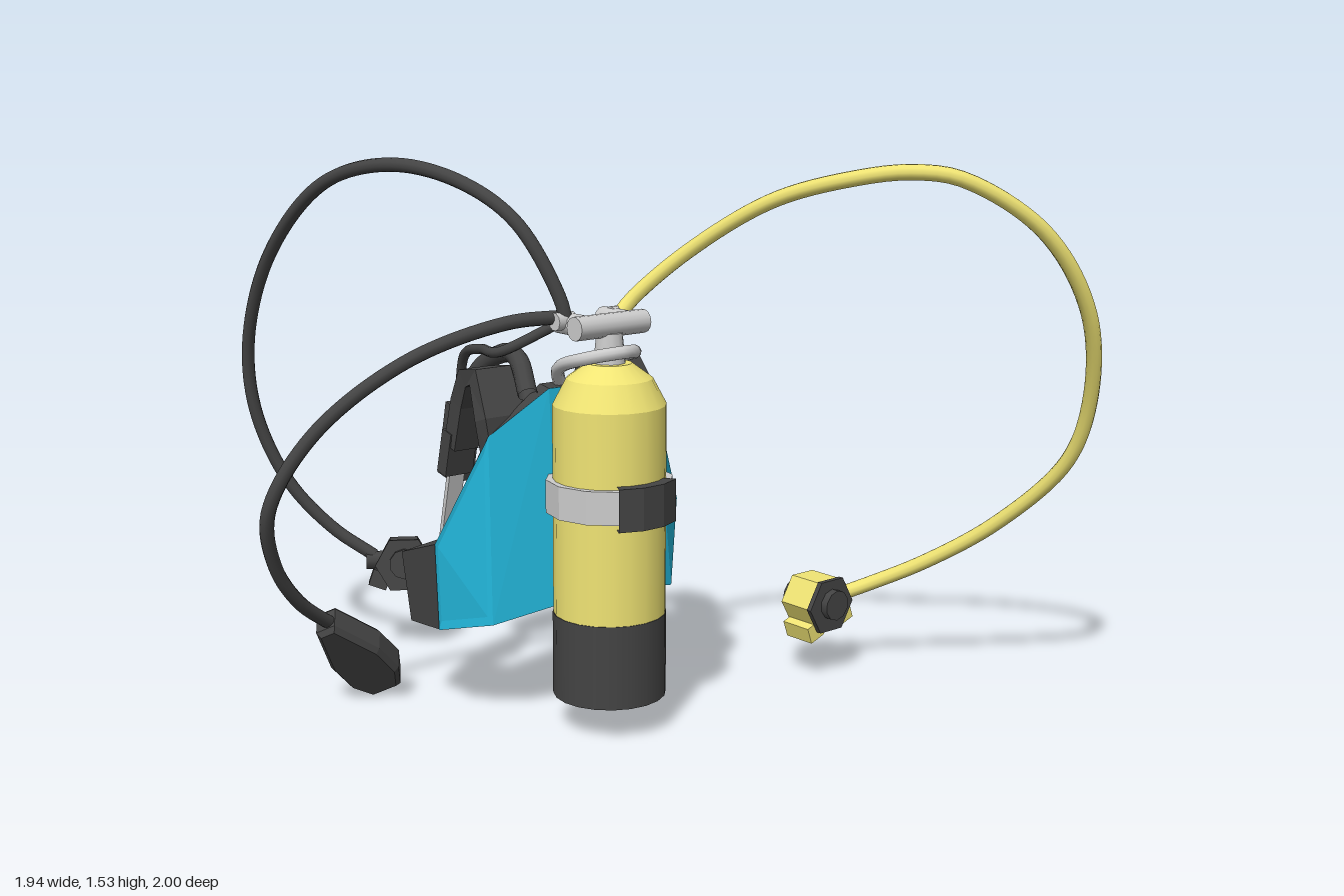
import * as THREE from 'three';

const V = (x, y, z) => new THREE.Vector3(x, y, z);
const mat = (color, flatShading = false) =>
  new THREE.MeshStandardMaterial({ color, flatShading, side: THREE.DoubleSide });
const YELLOW = 0xf0e474, TEAL = 0x22b4d8, DARK = 0x444444, GREY = 0xcccccc;

function add(parent, name, geo, color, pos = [0, 0, 0], rot = [0, 0, 0], flat = false) {
  const m = new THREE.Mesh(geo, mat(color, flat));
  m.name = name;
  m.position.set(...pos);
  m.rotation.set(...rot);
  parent.add(m);
  return m;
}
const cyl = (r1, r2, h, n = 20, start = 0, length = Math.PI * 2) =>
  new THREE.CylinderGeometry(r1, r2, h, n, 1, false, start, length);
const box = (x, y, z) => new THREE.BoxGeometry(x, y, z);

function hose(parent, name, pts, r, color, seg = 64) {
  const curve = new THREE.CatmullRomCurve3(pts.map(p => V(...p)));
  return add(parent, name, new THREE.TubeGeometry(curve, seg, r, 10), color);
}

// Joins four-cornered cross-sections into a capped solid
function loft(sections) {
  const out = [];
  const quad = (a, b, c, d) => [a, b, c, a, c, d].forEach(p => out.push(...p));
  for (let i = 0; i < sections.length - 1; i++)
    for (let k = 0; k < 4; k++) {
      const a = sections[i], b = sections[i + 1], j = (k + 1) % 4;
      quad(a[k], b[k], b[j], a[j]);
    }
  quad(...sections[0]);
  quad(...[...sections[sections.length - 1]].reverse());
  const g = new THREE.BufferGeometry();
  g.setAttribute('position', new THREE.Float32BufferAttribute(out, 3));
  g.computeVertexNormals();
  return g;
}

// Flat strap in a y-z plane; each station is [z, y, xMin, xMax]
function strap(stations, t) {
  return loft(stations.map(([z, y, xa, xb], i) => {
    const p = stations[Math.max(i - 1, 0)], q = stations[Math.min(i + 1, stations.length - 1)];
    const l = Math.hypot(q[0] - p[0], q[1] - p[1]);
    const nz = (q[1] - p[1]) / l * t / 2, ny = -(q[0] - p[0]) / l * t / 2;
    return [[xb, y + ny, z + nz], [xa, y + ny, z + nz], [xa, y - ny, z - nz], [xb, y - ny, z - nz]];
  }));
}

function buildTank() {
  const g = new THREE.Group();
  g.name = 'tank';
  g.position.set(-0.167, 0, 0.195);
  add(g, 'boot', cyl(0.154, 0.154, 0.23), DARK, [0, 0.205, 0]);
  add(g, 'cylinderBody', cyl(0.152, 0.152, 0.57), YELLOW, [0, 0.605, 0]);
  add(g, 'shoulderLower', cyl(0.115, 0.152, 0.07), YELLOW, [0, 0.925, 0]);
  add(g, 'shoulderUpper', cyl(0.06, 0.115, 0.04), YELLOW, [0, 0.98, 0]);
  add(g, 'tankBand', cyl(0.172, 0.172, 0.09, 12), GREY, [0, 0.645, 0], [0, 0, 0], true);
  add(g, 'buckle', cyl(0.185, 0.185, 0.115, 3, -0.56, 1.12), DARK, [0, 0.642, 0], [0, 0, 0], true);
  // Valve and first stage
  add(g, 'neck', cyl(0.035, 0.045, 0.1, 12), GREY, [0, 1.03, 0]);
  add(g, 'valveBar', cyl(0.032, 0.032, 0.235, 14), GREY, [0, 1.1, 0], [0, 0, Math.PI / 2]);
  for (const x of [-0.07, 0.077]) {
    add(g, 'valvePort', cyl(0.03, 0.03, 0.1, 12), GREY, [x, 1.1, -0.07], [Math.PI / 2, 0, 0]);
    add(g, 'hoseFitting', cyl(0.024, 0.024, 0.06, 10), GREY, [x * 1.3, 1.11, -0.08], [0, 0, Math.PI / 2]);
  }
  return g;
}

function buildVest() {
  const g = new THREE.Group();
  g.name = 'vest';
  g.position.x = -0.125;
  g.rotation.y = -0.036;
  // Half outline from the spine to the front tip: uBottom, zBottom, yBottom, uTop, zTop, yTop
  const half = [
    [0, 0.11, 0.33, 0, 0.06, 0.92], [0.13, 0.1, 0.33, 0.13, 0.055, 0.92],
    [0.31, 0.04, 0.29, 0.29, 0.0, 0.8], [0.405, -0.08, 0.265, 0.42, -0.07, 0.51],
    [0.4, -0.24, 0.25, 0.42, -0.25, 0.45], [0.26, -0.32, 0.225, 0.285, -0.35, 0.41],
    [0.09, -0.375, 0.215, 0.09, -0.425, 0.41]];
  const cols = [...half.slice(1).reverse().map(c => [-c[0], c[1], c[2], -c[3], c[4], c[5]]), ...half];
  // The front tips sit slightly towards the wearer's left
  for (const c of [cols[0], cols[12]]) { c[0] += 0.03; c[3] += 0.03; }
  const zc = -0.17;
  const wall = (name, from, to, outer, inner, color, padding = 0) => {
    const sec = cols.slice(from, to + 1).map(([u, z, y, ut, zt, yt]) => {
      const at = (a, b, c, s, pad = 0) => [a * s, b, zc + (c - zc) * s - (c > -0.1 ? pad : 0)];
      return [at(u, y, z, outer), at(ut, yt, zt, outer),
        at(ut, yt, zt, inner, padding), at(u, y, z, inner, padding)];
    });
    add(g, name, loft(sec), color, [0, 0, 0], [0, 0, 0], true);
  };
  wall('liner', 0, 12, 0.99, 0.82, DARK, 0.035);
  wall('backPanel', 3, 9, 1, 0.99, TEAL);
  wall('frontTab', 0, 1, 1, 0.99, TEAL);
  wall('frontTab', 11, 12, 1, 0.99, TEAL);
  // Shoulder straps with webbing down to the waist
  for (const s of [-1, 1]) {
    const side = (z, y, a, b) => s > 0 ? [z, y, a, b] : [z, y, -b, -a];
    add(g, 'shoulderStrap', strap([
      side(-0.02, 0.72, 0.1, 0.28), side(-0.03, 0.84, 0.12, 0.295), side(-0.095, 0.945, 0.15, 0.275),
      side(-0.17, 0.93, 0.155, 0.26), side(-0.22, 0.85, 0.16, 0.25), side(-0.265, 0.72, 0.165, 0.245)],
      0.055), DARK, [0, 0, 0], [0, 0, 0], true);
    add(g, 'strapBuckle', box(0.09, 0.13, 0.045), DARK, [s * 0.205, 0.7, -0.285], [0.25, 0, 0]);
    add(g, 'webbing', strap([side(-0.28, 0.7, 0.18, 0.23), side(-0.36, 0.37, 0.18, 0.23)], 0.015), GREY);
  }
  return g;
}

// Second stage: mouthpiece on local -z, purge cover on local +z, hose on the given side of x
function buildRegulator(name, body, cover, hoseSide) {
  const g = new THREE.Group();
  g.name = name;
  const ax = [Math.PI / 2, 0, 0];
  const hex = (r, h) => cyl(r, r, h, 6, Math.PI / 2);
  add(g, 'regulatorBody', hex(0.084, 0.11), body, [0, 0, 0], ax, true);
  add(g, 'mouthPlate', hex(0.088, 0.015), DARK, [0, 0, -0.06], ax, true);
  add(g, 'mouthpiece', cyl(0.045, 0.045, 0.03, 10), DARK, [0, 0.005, -0.075], ax);
  add(g, 'coverRing', cyl(0.055, 0.06, 0.025, 16), DARK, [0, 0, 0.065], ax);
  add(g, 'purgeCover', cyl(0.045, 0.045, 0.02, 16), cover, [0, 0, 0.075], ax);
  for (const [x, y] of [[0.075, -0.045], [-0.045, -0.075]])
    add(g, 'exhaustPort', box(0.055, 0.05, 0.1), body, [x * hoseSide, y, 0], [0, 0, hoseSide * 0.35]);
  add(g, 'hoseNut', cyl(0.028, 0.028, 0.05, 10), body, [hoseSide * 0.09, 0.01, 0], [0, 0, Math.PI / 2]);
  return g;
}

function buildConsole() {
  const g = new THREE.Group();
  g.name = 'gaugeConsole';
  const along = V(0.68, -0.73, -0.1).normalize();
  const face = V(0.55, 0.45, -0.7);
  face.addScaledVector(along, -face.dot(along)).normalize();
  g.quaternion.setFromRotationMatrix(
    new THREE.Matrix4().makeBasis(along.clone().cross(face), along, face));
  g.position.set(-0.593, 0.145, -0.4);
  const pts = [[-0.03, -0.17], [0.03, -0.17], [0.08, -0.02], [0.08, 0.08], [0.045, 0.145],
    [-0.045, 0.145], [-0.08, 0.08], [-0.08, -0.02]];
  const shape = new THREE.Shape(pts.map(p => new THREE.Vector2(...p)));
  const geo = new THREE.ExtrudeGeometry(shape, { depth: 0.06, bevelEnabled: true,
    bevelThickness: 0.015, bevelSize: 0.012, bevelOffset: -0.012, bevelSegments: 1 });
  add(g, 'consoleCase', geo, DARK, [0, 0, -0.045], [0, 0, 0], true);
  add(g, 'gaugeFace', cyl(0.055, 0.055, 0.012, 20), GREY, [0, 0.05, 0.03], [Math.PI / 2, 0, 0]);
  return g;
}

export function createModel() {
  const model = new THREE.Group();
  model.name = 'divingSet';
  model.add(buildTank(), buildVest(), buildConsole());

  // Retaining loop around the tank neck
  hose(model, 'neckLoop', [[-0.085, 0.91, -0.005], [-0.07, 0.98, 0.08], [-0.085, 1.02, 0.2],
    [-0.167, 1.035, 0.255], [-0.25, 1.02, 0.2], [-0.245, 0.98, 0.08], [-0.175, 0.91, -0.005]],
    0.018, GREY, 30);

  // Hoses
  hose(model, 'spareHose', [[-0.07, 1.11, 0.12], [-0.03, 1.15, 0.125], [0.08, 1.275, 0.22], [0.19, 1.42, 0.43],
    [0.29, 1.485, 0.63], [0.38, 1.502, 0.74], [0.47, 1.485, 0.83], [0.66, 1.35, 0.945], [0.82, 1.13, 0.98],
    [0.925, 0.87, 0.925], [0.95, 0.68, 0.84], [0.905, 0.475, 0.645], [0.82, 0.335, 0.46],
    [0.72, 0.25, 0.32], [0.64, 0.22, 0.27]], 0.021, YELLOW, 90);
  hose(model, 'mainHose', [[-0.25, 1.1, 0.12], [-0.265, 1.17, 0.11], [-0.34, 1.365, 0.025], [-0.41, 1.465, -0.125],
    [-0.5, 1.505, -0.31], [-0.57, 1.445, -0.555], [-0.605, 1.215, -0.82], [-0.605, 0.945, -0.955],
    [-0.575, 0.73, -0.975], [-0.5, 0.52, -0.93], [-0.4, 0.375, -0.85], [-0.31, 0.29, -0.76]], 0.019, DARK, 90);
  hose(model, 'gaugeHose', [[-0.25, 1.12, 0.11], [-0.4, 1.11, 0.055], [-0.64, 1.02, -0.055], [-0.85, 0.84, -0.17],
    [-0.95, 0.64, -0.24], [-0.91, 0.475, -0.295], [-0.82, 0.345, -0.33], [-0.68, 0.235, -0.37]], 0.019, DARK);
  hose(model, 'inflatorFeed', [[-0.24, 1.1, 0.08], [-0.36, 1.02, -0.03], [-0.335, 1.01, -0.15],
    [-0.3, 0.97, -0.28], [-0.265, 0.78, -0.36]], 0.014, DARK, 40);
  hose(model, 'inflatorHose', [[-0.29, 0.9, 0.0], [-0.26, 0.98, -0.08], [-0.225, 0.98, -0.2],
    [-0.235, 0.92, -0.3], [-0.265, 0.77, -0.36]], 0.027, DARK, 40);

  // Inflator handset
  add(model, 'inflator', box(0.07, 0.22, 0.08), DARK, [-0.265, 0.71, -0.36], [0.22, 0, 0]);
  add(model, 'inflatorButton', cyl(0.018, 0.018, 0.015, 12), GREY, [-0.227, 0.71, -0.36], [0, 0, Math.PI / 2]);

  // Breathing regulators
  const main = buildRegulator('mainRegulator', DARK, TEAL, 1);
  main.position.set(-0.235, 0.265, -0.71);
  main.rotation.set(0.15, Math.PI - 0.58, 0, 'YXZ');
  const spare = buildRegulator('spareRegulator', YELLOW, YELLOW, -1);
  spare.position.set(0.57, 0.215, 0.255);
  spare.rotation.y = Math.PI;
  model.add(main, spare);
  return model;
}
